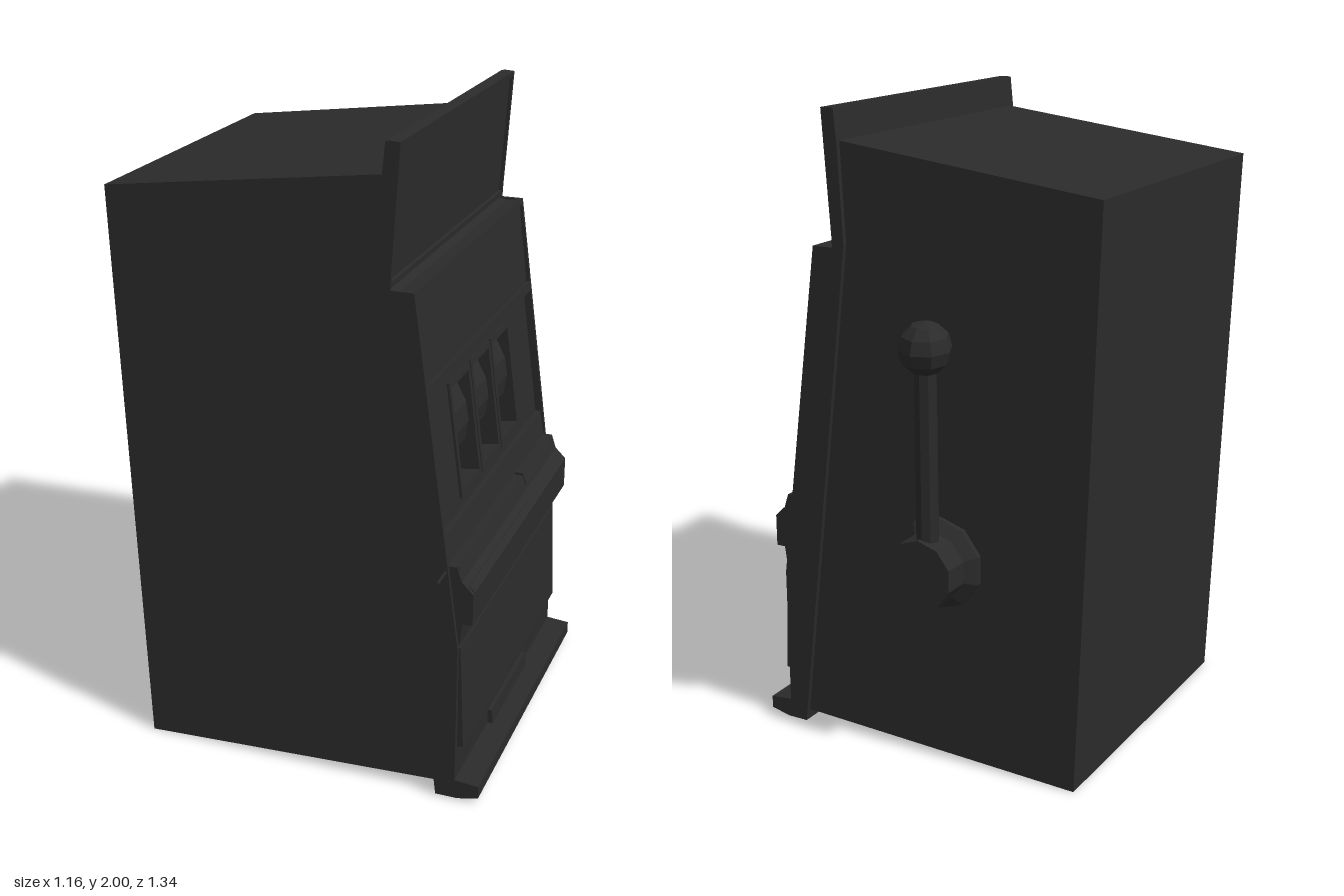
import * as THREE from 'three';

const material = new THREE.MeshStandardMaterial({ color: 0x2b2b2b, flatShading: true });

export function createModel() {
  const machine = new THREE.Group();
  machine.name = 'slotMachine';

  const add = (name, geometry) => {
    const mesh = new THREE.Mesh(geometry, material);
    mesh.name = name;
    machine.add(mesh);
    return mesh;
  };
  const polygon = (pts, Type = THREE.Shape) => new Type(pts.map(([x, y]) => new THREE.Vector2(x, y)));
  // Side profile (x, y) extruded across the width from z0 to z1
  const prism = (name, pts, z0, z1) =>
    add(name, new THREE.ExtrudeGeometry(polygon(pts), { depth: z1 - z0, bevelEnabled: false }).translate(0, 0, z0));
  // Sloping slab whose outer face runs from lower point a to upper point b
  const slab = (name, a, b, z0, z1, thick) => {
    const len = Math.hypot(b[0] - a[0], b[1] - a[1]);
    const nx = (b[1] - a[1]) / len * thick, ny = (a[0] - b[0]) / len * thick;
    return prism(name, [a, b, [b[0] - nx, b[1] - ny], [a[0] - nx, a[1] - ny]], z0, z1);
  };
  const rect = (u, v, hw, hh) => [[u - hw, v - hh], [u + hw, v - hh], [u + hw, v + hh], [u - hw, v + hh]];
  const Z0 = -0.485, Z1 = 0.585, RIM = 0.013;
  const faceX = (y) => 0.36 + (1.59 - y) * 0.1358;

  // Cabinet
  prism('cabinet', [[-0.52, 0.005], [0.45, 0.045], [0.26, 1.6], [0.265, 1.905], [-0.585, 1.8]], -0.47, 0.563);

  // Front housing: thin side cheeks and a slightly recessed core
  const foot = [[0.445, 0.01], [0.515, 0.01], [0.58, 0.025], [0.58, 0.065], [0.505, 0.072]];
  const back = [[0.275, 2], [0.265, 1.9], [0.25, 1.6]];
  const cheek = [...foot, [0.505, 0.52], [0.36, 1.59], [0.29, 1.59], [0.318, 2], ...back];
  prism('rightCheek', cheek, Z0, Z0 + RIM);
  prism('leftCheek', cheek, Z1 - RIM, Z1);
  prism('frontCore', [
    ...foot, [0.503, 0.52], [0.48, 0.6], [0.466, 0.78], [0.451, 0.86], [0.351, 0.86], [0.298, 1.29],
    [0.388, 1.29], [0.353, 1.575], [0.28, 1.59], [0.308, 2], ...back,
  ], Z0 + RIM, Z1 - RIM);

  // Rails bordering the sign and upper panel
  slab('signTopRail', [0.317, 1.985], [0.318, 2], Z0, Z1, 0.035);
  slab('signBottomRail', [0.291, 1.595], [0.292, 1.612], Z0, Z1, 0.03);
  slab('upperPanelTopRail', [faceX(1.575), 1.575], [0.36, 1.59], Z0, Z1, 0.06);
  slab('upperPanelBottomRail', [faceX(1.285), 1.285], [faceX(1.315), 1.315], Z0, Z1, 0.08);

  // Reel fascia: u runs across the front, v up the slope
  const p0 = new THREE.Vector3(0.434, 0.86, 0), p1 = new THREE.Vector3(0.376, 1.29, 0);
  const across = new THREE.Vector3(0, 0, -1), up = p1.clone().sub(p0).normalize();
  const slope = new THREE.Matrix4()
    .makeBasis(across, up, across.clone().cross(up)).setPosition(p0);
  const plate = (name, outer, holes, front, depth) => {
    const shape = polygon(outer);
    shape.holes = holes.map((h) => polygon(h, THREE.Path));
    const geo = new THREE.ExtrudeGeometry(shape, { depth, bevelEnabled: false });
    add(name, geo.translate(0, 0, front - depth).applyMatrix4(slope));
  };
  const reels = [-0.255, -0.05, 0.155], mid = 0.212;
  plate('reelFascia', [[-Z1 + RIM, 0], [-Z0 - RIM, 0], [-Z0 - RIM, 0.434], [-Z1 + RIM, 0.434]],
    reels.map((u) => rect(u, mid, 0.085, 0.165)), 0, 0.02);
  for (const u of reels) {
    plate('reelWindowFrame', rect(u, mid, 0.098, 0.18), [rect(u, mid, 0.08, 0.16)], 0.008, 0.06);
    const reel = new THREE.CylinderGeometry(0.2, 0.2, 0.15, 20).rotateX(Math.PI / 2);
    add('reel', reel).position.set(0.198, 1.07, -u);
  }

  // Button ledge with thin trim strips and a coin slot
  prism('buttonLedge', [[0.47, 0.6], [0.545, 0.6], [0.545, 0.7], [0.51, 0.735], [0.495, 0.78], [0.46, 0.78]],
    Z0 + RIM, Z1 - RIM);
  prism('ledgeTrim', [[0.462, 0.763], [0.468, 0.763], [0.468, 0.768], [0.462, 0.768]], Z1 - 0.05, 0.66);
  slab('ledgeStripUpper', [0.501, 0.765], [0.498, 0.777], -0.05, 0.56, 0.008);
  slab('ledgeStripLower', [0.547, 0.703], [0.529, 0.72], -0.06, 0.56, 0.008);
  prism('coinSlot', [[0.465, 0.77], [0.51, 0.75], [0.495, 0.788], [0.47, 0.788]], -0.27, -0.11);

  // Lower door, kick strip and coin tray
  slab('lowerDoor', [0.523, 0.18], [0.508, 0.515], Z0 + 0.012, Z1 - 0.02, 0.03);
  prism('undersideSlope', [[0.48, 0.54], [0.506, 0.53], [0.515, 0.6], [0.48, 0.6]], Z0 + RIM, Z1 - RIM);
  prism('coinTray', [[0.5, 0.07], [0.522, 0.07], [0.518, 0.118], [0.5, 0.118]], -0.14, 0.245);

  // Pull lever on the right side
  const hub = [[0, -0.01], [0.145, -0.01], [0.145, 0.018], [0.11, 0.045], [0.11, 0.132], [0, 0.132]];
  const hubGeo = new THREE.LatheGeometry(hub.map(([r, h]) => new THREE.Vector2(r, h)), 10);
  add('leverHub', hubGeo.rotateX(-Math.PI / 2)).position.set(-0.063, 0.66, -0.468);
  const from = new THREE.Vector3(-0.065, 0.68, -0.545), to = new THREE.Vector3(-0.098, 1.36, -0.602);
  const shaft = add('leverShaft', new THREE.CylinderGeometry(0.033, 0.035, from.distanceTo(to), 8));
  shaft.position.copy(from).lerp(to, 0.5);
  shaft.quaternion.setFromUnitVectors(new THREE.Vector3(0, 1, 0), to.clone().sub(from).normalize());
  const knob = add('leverKnob', new THREE.SphereGeometry(0.08, 8, 6));
  knob.position.copy(to);
  knob.quaternion.copy(shaft.quaternion);

  return machine;
}
